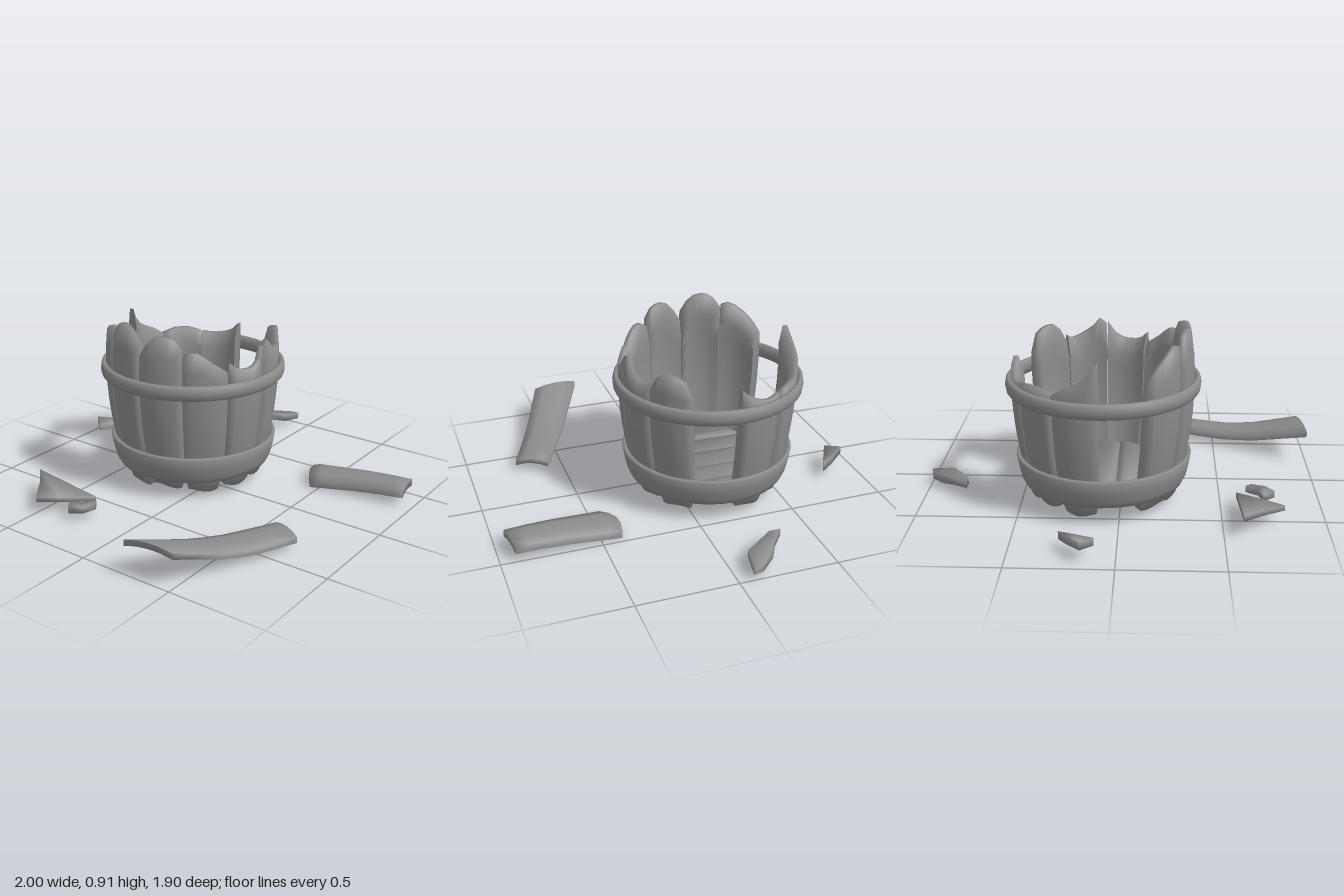
import * as THREE from 'three';
import { toCreasedNormals } from 'three/addons/utils/BufferGeometryUtils.js';

const material = new THREE.MeshStandardMaterial({ color: 0x8c8c8c });
const AXIS_X = 0.09, AXIS_Z = -0.185;

// Reads a value from evenly spaced samples, t in 0..1
function sample(list, t) {
  const f = THREE.MathUtils.clamp(t, 0, 1) * (list.length - 1);
  const i = Math.min(Math.floor(f), list.length - 2);
  return THREE.MathUtils.lerp(list[i], list[i + 1], f - i);
}

// Worn wood: even right-angled edges are shaded softly
function addPart(parent, name, geometry) {
  const mesh = new THREE.Mesh(toCreasedNormals(geometry, 1.7), material);
  mesh.name = name;
  parent.add(mesh);
}

// A unit box whose points are moved by rule(p), p running from -0.5 to 0.5
function shapedBox(sx, sy, sz, rule) {
  const geometry = new THREE.BoxGeometry(1, 1, 1, sx, sy, sz);
  const pos = geometry.attributes.position, p = new THREE.Vector3();
  for (let i = 0; i < pos.count; i++) {
    rule(p.fromBufferAttribute(pos, i));
    pos.setXYZ(i, p.x, p.y, p.z);
  }
  return geometry;
}

// Bellied outline of the bucket
const staveRadius = (y) => 0.447 - (y > 0.64 ? 0.4 : 0.24) * (y - 0.64) ** 2;

// One stave with a broken top edge, spanning 30 degrees, thinner at the top and narrower at the foot
function stave(index, tops, bottom) {
  const step = Math.PI / 6;
  return shapedBox(6, 8, 1, (p) => {
    const v = p.y + 0.5, top = sample(tops, p.x + 0.5);
    const low = bottom + 0.01 * Math.sin(p.x * 5 + index);
    const y = THREE.MathUtils.lerp(low, top, v);
    const width = v < 0.05 ? 0.82 : 0.975;
    const angle = (index + 0.5 + p.x * width) * step;
    const thickness = v > 0.95 ? 0.025 : 0.055;
    const bulge = 0.012 * (1 - 4 * p.x * p.x);
    const r = staveRadius(y) + bulge - (0.5 - p.z) * thickness;
    p.set(r * Math.sin(angle), y, r * Math.cos(angle));
  });
}

// Closed hoop from a radius/height section
function hoop(section) {
  const points = section.map(([r, y]) => new THREE.Vector2(r, y));
  points.push(points[0].clone());
  return new THREE.LatheGeometry(points, 40);
}

// Fallen stave: corners are [start -u, start +u, end -u, end +u] in x, z; bow rounds the start
function fallenStave(corners, lift, arch, thickness, bow) {
  const [a, b, c, d] = corners.map(([x, z]) => new THREE.Vector2(x, z));
  return shapedBox(4, 1, 8, (p) => {
    const u = p.x + 0.5, v = p.z + 0.5, round = 1 - 4 * p.x * p.x;
    const at = a.clone().lerp(b, u).lerp(c.clone().lerp(d, u), v);
    const y = sample(lift, v) + arch * round + (p.y + 0.5) * thickness;
    p.set(at.x, y, at.y - bow * round * (1 - v));
  });
}

// Flat splinter from an x, z outline, tilted by height = h + sx * x + sz * z
function splinter(outline, thickness, h, sx, sz) {
  const shape = new THREE.Shape(outline.map(([x, z]) => new THREE.Vector2(x, -z)));
  const geometry = new THREE.ExtrudeGeometry(shape, { depth: thickness, bevelEnabled: false });
  geometry.rotateX(-Math.PI / 2);
  const pos = geometry.attributes.position;
  for (let i = 0; i < pos.count; i++) {
    pos.setY(i, pos.getY(i) + h + sx * pos.getX(i) + sz * pos.getZ(i));
  }
  return geometry;
}

export function createModel() {
  const model = new THREE.Group();
  model.name = 'brokenBucket';

  const bucket = new THREE.Group();
  bucket.name = 'bucket';
  bucket.position.set(AXIS_X, 0, AXIS_Z);
  model.add(bucket);

  // Staves counted from the front towards +x; two are missing
  const staveTops = [
    [0.78, 0.81, 0.765, 0.74, 0.72, 0.71, 0.73],
    [0.7, 0.77, 0.8, 0.8, 0.79, 0.77, 0.68],
    null,
    [0.73, 0.68, 0.66, 0.65, 0.66],
    [0.66, 0.68, 0.68, 0.66],
    [0.66, 0.69, 0.71, 0.73, 0.77, 0.84],
    null,
    [0.72, 0.77, 0.81, 0.84, 0.865, 0.85],
    [0.83, 0.89, 0.91, 0.905, 0.88, 0.81],
    [0.77, 0.84, 0.88, 0.88, 0.875, 0.82],
    [0.78, 0.81, 0.8, 0.76, 0.73, 0.7],
    [0.75, 0.71, 0.7, 0.7, 0.72, 0.79],
  ];
  const bottoms = [0.06, 0.05, 0, 0.045, 0.06, 0.04, 0, 0.05, 0.04, 0.06, 0.04, 0.05];
  staveTops.forEach((tops, i) => {
    if (tops) addPart(bucket, 'stave' + (i + 1), stave(i, tops, bottoms[i]));
  });

  // Wide lower band and narrow rounded upper hoop
  addPart(bucket, 'lowerBand', hoop([
    [0.38, 0.1], [0.405, 0.1], [0.42, 0.13], [0.432, 0.18], [0.442, 0.238],
    [0.436, 0.247], [0.42, 0.245], [0.4, 0.18],
  ]));
  addPart(bucket, 'upperHoop', hoop([
    [0.458, 0.572], [0.472, 0.57], [0.482, 0.582], [0.486, 0.607], [0.482, 0.634],
    [0.472, 0.646], [0.458, 0.644], [0.453, 0.608],
  ]));

  // Floor boards with rounded faces, trimmed to a circle that meets the band
  const floorRadius = 0.388;
  const seams = [-floorRadius, -0.2, -0.07, 0.08, 0.21, floorRadius];
  for (let i = 0; i < seams.length - 1; i++) {
    const board = shapedBox(4, 1, 1, (p) => {
      const x = THREE.MathUtils.lerp(seams[i], seams[i + 1], p.x + 0.5);
      const half = Math.sqrt(Math.max(0, floorRadius ** 2 - x * x));
      const y = 0.125 + p.y * (0.05 - 0.1 * p.x * p.x);
      p.set(x, y, p.z * 2 * half);
    });
    addPart(bucket, 'floorBoard' + (i + 1), board);
  }

  // Pieces lying on the ground
  const debris = new THREE.Group();
  debris.name = 'debris';
  model.add(debris);
  addPart(debris, 'longFallenStave', fallenStave(
    [[-0.97, 0.5], [-1, 0.25], [-0.35, 0.75], [-0.28, 0.59]],
    [0.145, 0.105, 0.065, 0.042, 0.035, 0.032], 0.018, 0.03, 0));
  addPart(debris, 'shortFallenStave', fallenStave(
    [[0.26, 0.455], [0.47, 0.395], [0.34, 0.95], [0.5, 0.925]],
    [0, 0.015, 0.03, 0.04, 0.045], 0.018, 0.04, 0.03));
  addPart(debris, 'largeSplinter', splinter(
    [[-0.59, -0.68], [-0.68, -0.59], [-0.8, -0.5], [-0.72, -0.42], [-0.58, -0.3]],
    0.028, -0.01, 0, -0.14));
  addPart(debris, 'smallSplinter', splinter(
    [[-0.77, -0.31], [-0.71, -0.355], [-0.69, -0.29], [-0.63, -0.25], [-0.66, -0.23], [-0.73, -0.25]],
    0.035, 0.04, 0, 0));
  addPart(debris, 'backSplinter', splinter(
    [[0.1, -0.88], [0.16, -0.95], [0.23, -0.86], [0.27, -0.79], [0.2, -0.825]],
    0.04, -0.1, 0, -0.175));
  addPart(debris, 'sideSplinter', splinter(
    [[0.78, -0.3], [0.85, -0.24], [0.92, -0.2], [0.99, -0.12], [1, -0.07], [0.88, -0.09], [0.84, -0.15], [0.78, -0.24]],
    0.036, 0.165, -0.135, 0));
  return model;
}
